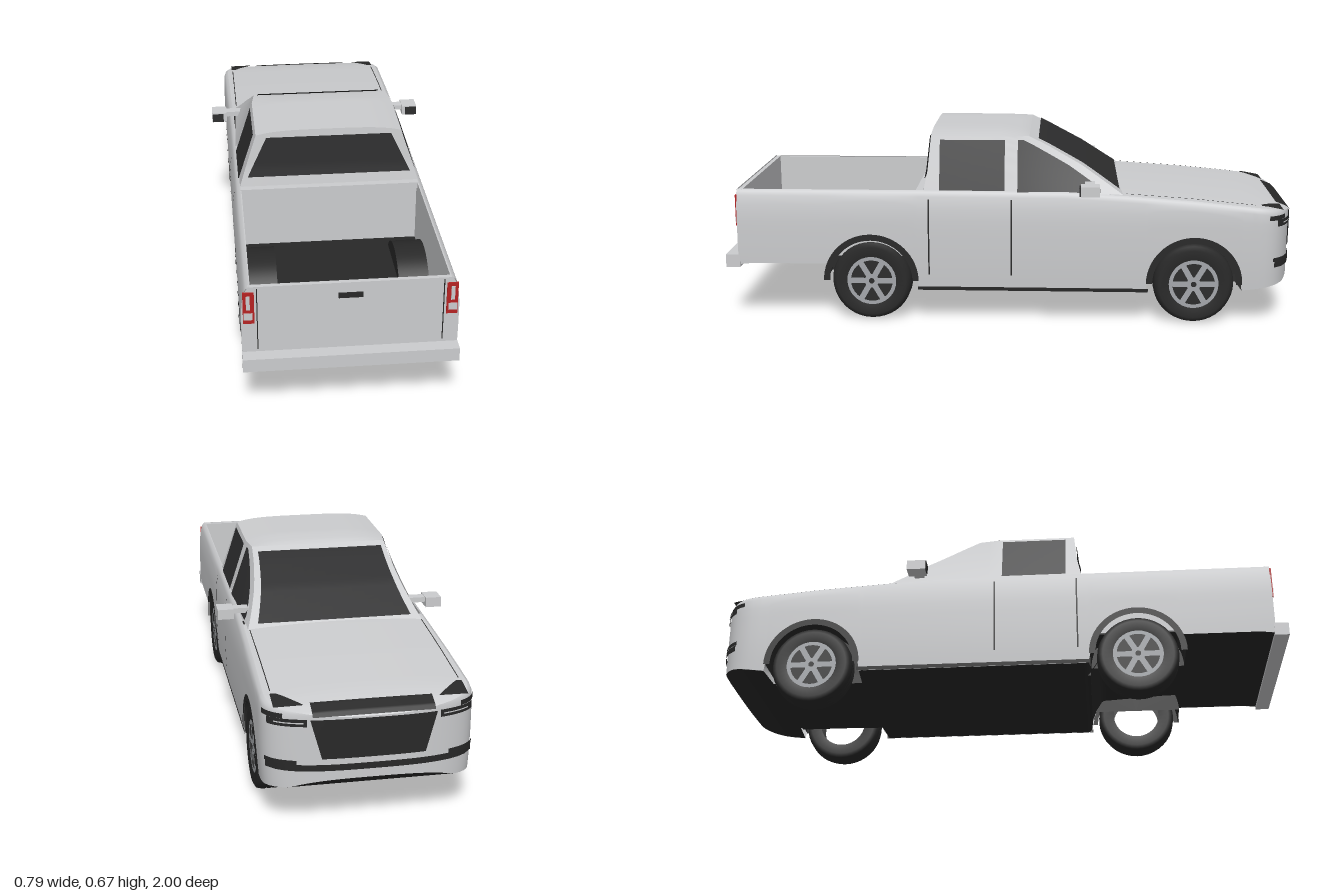
import * as THREE from 'three';

const mat = (name, color, side = THREE.DoubleSide) => new THREE.MeshStandardMaterial({ name, color, side });
const lerp = THREE.MathUtils.lerp;

// Piecewise-linear profile through [position, value] pairs in ascending order
const curve = (pts) => (p) => {
  if (p <= pts[0][0]) return pts[0][1];
  for (let i = 1; i < pts.length; i++) {
    const [a, va] = pts[i - 1], [b, vb] = pts[i];
    if (p <= b) return lerp(va, vb, (p - a) / (b - a));
  }
  return pts[pts.length - 1][1];
};

// Body rules: half-width along z, side curvature over y, upper and lower edges
const WIDE = 0.337, NOSE = -0.85, AXLES = [0.485, -0.65], ARCH = 0.162;
const noseT = (z) => Math.min(1, Math.max(0, (NOSE - z) / 0.15));
const halfW = (z) => WIDE * Math.cbrt(Math.max(0, 1 - noseT(z) ** 3));
const bulge = (y) => 1 - 3 * Math.max(0, y - 0.35) ** 2 - 0.6 * Math.max(0, 0.3 - y) ** 2;
const topY = curve([[-1, 0.378], [-0.985, 0.392], [-0.95, 0.405], [-0.9, 0.414], [-0.65, 0.438], [-0.4, 0.455], [-0.2, 0.466], [0.3, 0.468]]);
const baseY = curve([[-1, 0.175], [-0.97, 0.145], [-0.88, 0.13], [-0.8, 0.12], [-0.5, 0.112], [0.31, 0.112], [0.36, 0.19], [0.6, 0.205], [0.9, 0.205], [0.955, 0.2]]);
const archY = (z) => {
  const d = Math.min(...AXLES.map((a) => Math.abs(z - a)));
  return d < ARCH ? Math.max(baseY(z), 0.145 + Math.sqrt(ARCH * ARCH - d * d)) : baseY(z);
};
const frontZ = (x, y) => NOSE - 0.15 * Math.cbrt(Math.max(0, 1 - Math.min(1, Math.abs(x) / (WIDE * bulge(y))) ** 3));

// Cab rules, t running from belt line (0) to roof edge (1)
const cabY = (t) => 0.455 + 0.195 * t;
const cabX = (z, t) => 0.315 - 0.063 * t - (0.03 + 0.12 * t) * Math.max(0, -z);
const shieldZ = curve([[0, -0.4], [0.5, -0.255], [0.85, -0.13], [1, -0.07]]);
const rearZ = curve([[0, 0.3], [0.4, 0.285], [1, 0.275]]);
const roofY = (q, z) => 0.65 + 0.016 * (1 - q ** 4) * Math.sqrt(Math.min(1, Math.max(0, (z + 0.07) / 0.1)));

export function createModel() {
  const truck = new THREE.Group();
  truck.name = 'pickupTruck';
  const paint = mat('body paint', 0xcbccce);
  const trim = mat('black trim', 0x282828);
  const glass = mat('dark glass', 0x2d2d2e);
  const tyreMat = mat('tyre rubber', 0x2b2b2b, THREE.FrontSide);
  const rimMat = mat('wheel alloy', 0xa3a6aa, THREE.FrontSide);
  const red = mat('tail lamp red', 0xb52222);

  const add = (name, geo, m, parent = truck) => {
    const mesh = new THREE.Mesh(geo, m);
    mesh.name = name;
    parent.add(mesh);
    return mesh;
  };
  // Grid surface from fn(u, v) -> [x, y, z]
  const surf = (name, m, nu, nv, fn) => {
    const pos = [], idx = [], n = nv + 1;
    for (let i = 0; i <= nu; i++) for (let j = 0; j <= nv; j++) pos.push(...fn(i / nu, j / nv));
    for (let i = 0; i < nu; i++) for (let j = 0; j < nv; j++) {
      const a = i * n + j, b = a + n;
      idx.push(a, b, a + 1, b, b + 1, a + 1);
    }
    const g = new THREE.BufferGeometry();
    g.setAttribute('position', new THREE.Float32BufferAttribute(pos, 3));
    g.setIndex(idx);
    g.computeVertexNormals();
    return add(name, g, m);
  };
  const box = (name, m, x0, x1, y0, y1, z0, z1) =>
    add(name, new THREE.BoxGeometry(Math.abs(x1 - x0), y1 - y0, z1 - z0), m).position.set((x0 + x1) / 2, (y0 + y1) / 2, (z0 + z1) / 2);
  // Thin details lying on the side, nose and hood surfaces
  const sidePatch = (name, m, s, z0, z1, y0, y1) => surf(name, m, 4, 8, (u, v) => {
    const z = lerp(z0, z1, u), y = lerp(y0, y1, v);
    return [s * (halfW(z) * bulge(y) + 0.002), y, z];
  });
  const nosePatch = (name, m, x0, x1, y0, y1, taper = 1, off = 0.004) => surf(name, m, 24, 6, (u, v) => {
    const y = lerp(y0, y1, v), x = lerp(x0, x1, u) * lerp(taper, 1, v);
    return [x * 1.01, y, frontZ(x, y) - off];
  });
  const hoodY = (x, z) => topY(z) + 0.008 * (1 - (x / WIDE) ** 2) * (1 - noseT(z));
  const hoodPatch = (name, m, x0, x1, z0, z1) => surf(name, m, 8, 16, (u, v) => {
    const x = lerp(x0, x1, u), z = lerp(z0, z1, v);
    return [x, hoodY(x, z) + 0.003, z];
  });

  // Sides with wheel arches, wrapping round to the nose
  const stations = [];
  for (let i = 0; i < 220; i++) stations.push(lerp(0.955, NOSE, i / 220));
  for (let i = 0; i <= 18; i++) stations.push(NOSE - 0.15 * (1 - (1 - i / 18) ** 3));
  const ns = stations.length - 1;
  const shoulder = [[1, 0.02], [0.988, 0.006], [0.96, 0]];
  for (const s of [-1, 1]) surf('bodySide', paint, ns, 10, (u, v) => {
    const z = stations[Math.round(u * ns)], j = Math.round(v * 10), top = topY(z);
    const [f, drop] = shoulder[Math.max(0, j - 8)];
    const y = j <= 8 ? lerp(archY(z), top - 0.02, j / 8) : top - drop;
    return [s * halfW(z) * bulge(y) * f, y, z];
  });
  surf('hood', paint, 50, 16, (u, v) => {
    const z = u < 0.6 ? lerp(-0.35, NOSE, u / 0.6) : NOSE - 0.15 * (1 - (1 - (u - 0.6) / 0.4) ** 3);
    const q = 2 * v - 1;
    const x = q * halfW(z) * bulge(topY(z)) * 0.962;
    return [x, topY(z) + 0.008 * (1 - q * q) * (1 - noseT(z)), z];
  });
  surf('underbody', trim, ns, 2, (u, v) => {
    const z = stations[Math.round(u * ns)], y = baseY(z);
    const w = AXLES.some((a) => Math.abs(z - a) < ARCH) ? 0.215 : halfW(z) * bulge(y) * 0.995;
    return [(2 * v - 1) * w, y, z];
  });
  box('chassis', trim, -0.215, 0.215, 0.114, 0.24, -0.8, 0.32);

  // Cargo bed
  box('bedFloor', trim, -0.312, 0.312, 0.225, 0.24, 0.3, 0.94);
  box('bulkhead', paint, -0.312, 0.312, 0.24, 0.46, 0.29, 0.305);
  box('bedFrontRail', paint, -0.31, 0.31, 0.445, 0.468, 0.3, 0.325);
  box('tailgateInner', paint, -0.315, 0.315, 0.22, 0.466, 0.937, 0.952);
  surf('tailgate', paint, 8, 10, (u, v) => {
    const y = lerp(0.2, 0.468, v);
    return [(2 * u - 1) * WIDE * bulge(y) * (v > 0.95 ? 0.975 : 1), y, 0.955];
  });
  box('tailgateHandle', trim, -0.038, 0.037, 0.416, 0.433, 0.954, 0.96);
  box('rearBumper', paint, -0.337, 0.337, 0.19, 0.235, 0.95, 1);

  // Cab shell
  surf('windscreenFrame', paint, 12, 16, (u, t) => [(2 * u - 1) * cabX(shieldZ(t), t), cabY(t), shieldZ(t)]);
  surf('windscreen', glass, 12, 16, (u, v) => {
    const t = lerp(0.06, 0.93, v), z = shieldZ(t);
    return [(2 * u - 1) * (cabX(z, t) - lerp(0.03, 0.018, v)), cabY(t) + 0.004, z - 0.004];
  });
  surf('roof', paint, 20, 16, (u, v) => {
    const z = lerp(-0.07, 0.275, u), q = 2 * v - 1;
    return [q * cabX(z, 1), roofY(q, z), z];
  });
  surf('cabRear', paint, 16, 10, (u, t) => {
    const q = 2 * u - 1;
    return [q * cabX(0.28, t), lerp(0.455, roofY(q, 0.275), t), rearZ(t)];
  });
  surf('rearWindow', glass, 4, 10, (u, v) => {
    const y = lerp(0.502, 0.643, v), t = (y - 0.455) / 0.2;
    return [(2 * u - 1) * lerp(0.283, 0.216, v), y, rearZ(t) + 0.006];
  });

  for (const s of [-1, 1]) {
    // Cab sides and door glass
    const cabPanel = (name, m, t0, t1, back, front, off) => surf(name, m, 12, 16, (u, v) => {
      const t = lerp(t0, t1, v), z = lerp(back(t), front(t), u);
      return [s * (cabX(z, t) + off), cabY(t), z];
    });
    cabPanel('cabSide', paint, 0, 1, rearZ, shieldZ, 0);
    cabPanel('rearDoorWindow', glass, 0.07, 0.94, () => 0.243, () => 0.015, 0.004);
    cabPanel('frontDoorWindow', s > 0 ? glass : paint, 0.04, 0.94, () => -0.03, (t) => Math.min(-0.05, Math.max(-0.32, shieldZ(t) + 0.045)), 0.004);

    // Shut lines, sill and bed inner wall
    sidePatch('rearDoorGap', trim, s, 0.277, 0.282, 0.17, 0.44);
    sidePatch('frontDoorGap', trim, s, -0.012, -0.007, 0.17, 0.44);
    sidePatch('sill', trim, s, -0.49, 0.32, 0.112, 0.125);
    box('bedWall', paint, s * 0.307, s * 0.315, 0.23, 0.465, 0.3, 0.95);
    hoodPatch('hoodGap', trim, s * 0.297, s * 0.3, -0.86, -0.41);
    box('tailgateGap', trim, s * 0.286, s * 0.289, 0.245, 0.462, 0.954, 0.957);

    // Lamps
    box('tailLamp', red, s * 0.296, s * 0.331, 0.34, 0.45, 0.953, 0.959);
    box('reverseLamp', paint, s * 0.302, s * 0.329, 0.354, 0.378, 0.955, 0.961);
    box('indicatorLamp', paint, s * 0.309, s * 0.321, 0.39, 0.438, 0.955, 0.961);
    nosePatch('headlamp', trim, s * 0.205, s * 0.318, 0.352, 0.376);
    nosePatch('headlampStrip', paint, s * 0.215, s * 0.3, 0.362, 0.366, 1, 0.006);
    surf('headlampTop', trim, 8, 8, (u, v) => {
      const z = lerp(-0.955, -0.88, u), x = lerp(lerp(0.21, 0.285, u), 0.303, v) * s;
      return [x, hoodY(x, z) + 0.004, z];
    });
    sidePatch('headlampSide', trim, s, -0.965, -0.905, 0.374, 0.39);

    // Door mirror
    box('mirrorArm', paint, s * 0.285, s * 0.35, 0.482, 0.5, -0.3, -0.265);
    box('mirrorHousing', paint, s * 0.34, s * 0.395, 0.467, 0.502, -0.315, -0.25);
    box('mirrorGlass', glass, s * 0.352, s * 0.394, 0.468, 0.499, -0.252, -0.246);

    // Wheels with arch liners
    for (const z of AXLES) {
      const liner = add('archLiner', new THREE.CylinderGeometry(ARCH, ARCH, 0.128, 32, 1, true, 0, Math.PI), trim);
      liner.rotation.z = Math.PI / 2;
      liner.position.set(s * 0.268, 0.145, z);
      const wall = add('archInnerWall', new THREE.CircleGeometry(ARCH, 32, 0, Math.PI), trim);
      wall.rotation.y = Math.PI / 2;
      wall.position.set(s * 0.204, 0.145, z);
      const lip = add('archLip', new THREE.RingGeometry(0.146, 0.168, 32, 1, 0, Math.PI), trim);
      lip.rotation.y = Math.PI / 2;
      lip.position.set(s * 0.3375, 0.145, z);

      const wheel = new THREE.Group();
      wheel.name = 'wheel';
      wheel.position.set(s * 0.284, 0.142, z);
      wheel.rotation.z = -s * Math.PI / 2;
      truck.add(wheel);
      const profile = [[0.085, -0.042], [0.122, -0.048], [0.136, -0.04], [0.141, -0.022], [0.141, -0.013], [0.136, -0.011], [0.136, -0.007],
        [0.141, -0.005], [0.141, 0.005], [0.136, 0.007], [0.136, 0.011], [0.141, 0.013], [0.141, 0.022], [0.136, 0.04], [0.122, 0.048], [0.085, 0.042]];
      add('tyre', new THREE.LatheGeometry(profile.map((p) => new THREE.Vector2(...p)), 40), trim, wheel);
      const face = (name, g, m, y) => { add(name, g.rotateX(-Math.PI / 2), m, wheel).position.y = y; };
      face('rimBack', new THREE.CircleGeometry(0.086, 32), tyreMat, 0.034);
      face('rimRing', new THREE.RingGeometry(0.074, 0.087, 32), rimMat, 0.043);
      face('hub', new THREE.CircleGeometry(0.025, 24), rimMat, 0.043);
      face('hubCap', new THREE.CircleGeometry(0.01, 16), tyreMat, 0.045);
      for (let k = 0; k < 6; k++)
        face('spoke', new THREE.PlaneGeometry(0.06, 0.02).translate(0.048, 0, 0).rotateZ(k * Math.PI / 3 + Math.PI / 6), rimMat, 0.042);
    }
  }

  // Grille and bumper slot
  nosePatch('grille', trim, -0.195, 0.195, 0.245, 0.374, 0.82);
  hoodPatch('grilleTop', trim, -0.19, 0.19, -0.998, -0.945);
  nosePatch('bumperSlot', trim, -0.322, 0.322, 0.205, 0.226);
  for (const s of [-1, 1]) nosePatch('slotEnd', trim, s * 0.235, s * 0.325, 0.226, 0.24);
  return truck;
}
